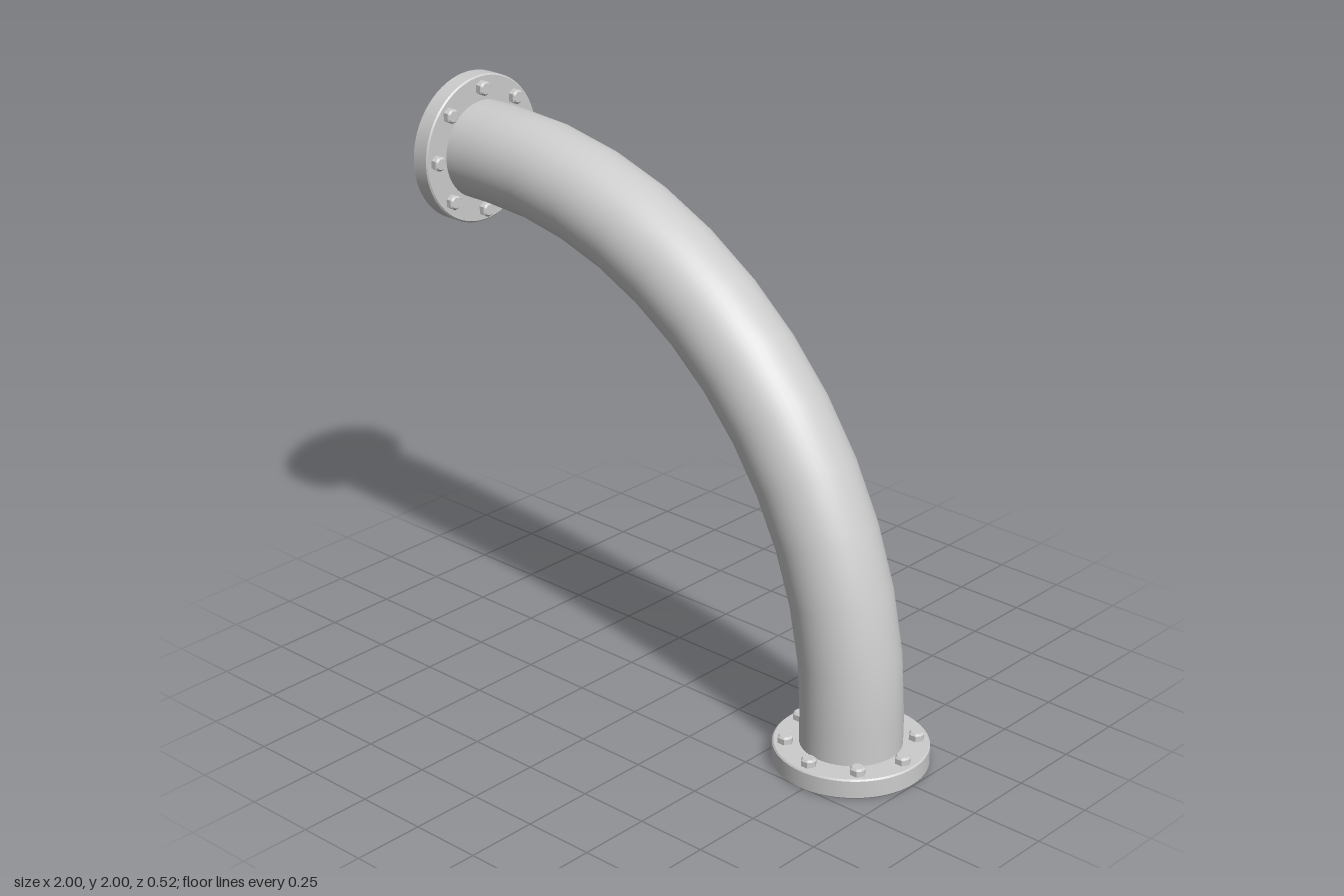
import * as THREE from 'three';
import { toCreasedNormals } from 'three/addons/utils/BufferGeometryUtils.js';

const PIPE_R = 0.171, FLANGE_R = 0.26, FLANGE_H = 0.07;
const BEND_R = 1.57, CX = -0.83, CY = 0.17, AXIS = 0.74, STEPS = 12;

const steel = new THREE.MeshStandardMaterial({ color: 0xcccccc });
const shell = new THREE.MeshStandardMaterial({ color: 0xcccccc, side: THREE.DoubleSide });

// Quarter bend with a short straight run at both ends, one tube ring per step
class BendCurve extends THREE.Curve {
  angle(t) {
    return THREE.MathUtils.clamp((t * (STEPS + 2) - 1) / STEPS, 0, 1) * Math.PI / 2;
  }
  getPoint(t, target = new THREE.Vector3()) {
    const s = t * (STEPS + 2), a = this.angle(t);
    const start = Math.max(0, 1 - s) * CY;
    const end = Math.max(0, s - STEPS - 1) * (CX + 1);
    return target.set(CX + BEND_R * Math.cos(a) - end, CY + BEND_R * Math.sin(a) - start, 0);
  }
  getTangent(t, target = new THREE.Vector3()) {
    const a = this.angle(t);
    return target.set(-Math.sin(a), Math.cos(a), 0);
  }
  getPointAt(u, target) { return this.getPoint(u, target); }
  getTangentAt(u, target) { return this.getTangent(u, target); }
}

// Hollow flange standing on y = 0 with a ring of hex bolts on its inner side
function makeFlange(name) {
  const group = new THREE.Group();
  group.name = name;

  const b = 0.005;
  const profile = [
    [FLANGE_R - b, 0], [FLANGE_R, b], [FLANGE_R, FLANGE_H - b],
    [FLANGE_R - b, FLANGE_H], [PIPE_R - 0.002, FLANGE_H],
  ].map(([x, y]) => new THREE.Vector2(x, y));
  const plate = new THREE.Mesh(
    toCreasedNormals(new THREE.LatheGeometry(profile, 64), 0.5), shell);
  plate.name = 'flangePlate';
  group.add(plate);

  const headGeo = toCreasedNormals(new THREE.CylinderGeometry(0.027, 0.027, 0.02, 6), 0.5);
  const capGeo = toCreasedNormals(new THREE.CylinderGeometry(0.019, 0.025, 0.006, 18), 0.5);
  for (let i = 0; i < 8; i++) {
    const a = i * Math.PI / 4;
    const bolt = new THREE.Group();
    bolt.name = 'bolt';
    const head = new THREE.Mesh(headGeo, steel);
    head.name = 'boltHead';
    head.position.y = 0.01;
    head.rotation.y = Math.PI / 6;
    const cap = new THREE.Mesh(capGeo, steel);
    cap.name = 'boltChamfer';
    cap.position.y = 0.023;
    bolt.add(head, cap);
    bolt.position.set(Math.cos(a) * 0.216, FLANGE_H, Math.sin(a) * 0.216);
    group.add(bolt);
  }
  return group;
}

export function createModel() {
  const model = new THREE.Group();
  model.name = 'pipeElbow';

  // Open pipe, visible inside and out
  const pipe = new THREE.Mesh(
    new THREE.TubeGeometry(new BendCurve(), STEPS + 2, PIPE_R, 48, false), shell);
  pipe.name = 'pipe';
  model.add(pipe);

  // Flange on the ground
  const lower = makeFlange('lowerFlange');
  lower.position.set(AXIS, 0, 0);
  model.add(lower);

  // Flange at the top end, bolts facing +x
  const upper = makeFlange('upperFlange');
  upper.rotation.z = -Math.PI / 2;
  upper.position.set(-1, AXIS + 1, 0);
  model.add(upper);

  return model;
}
